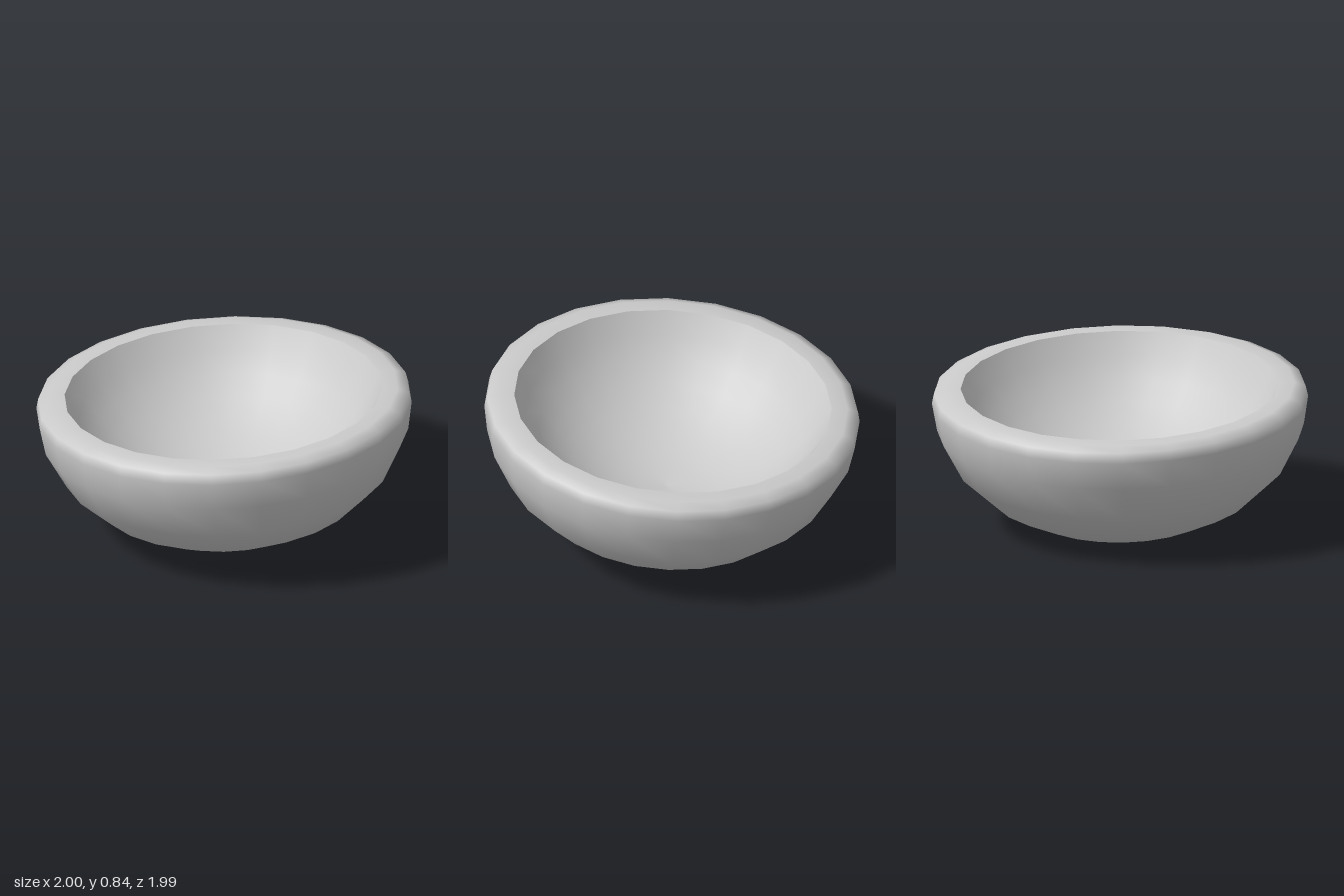
import * as THREE from 'three';

const SEGMENTS = 24;

// Shell profile runs [radius, height] from the base up and over the rim.
const SHELL = [
  [0, 0.003], [0.255, 0.016], [0.485, 0.057], [0.697, 0.163], [0.87, 0.328],
  [0.975, 0.535], [1, 0.69], [0.988, 0.745], [0.93, 0.768], [0.846, 0.768],
];

// The hollow is a spherical cap that meets the rim at a steep slope.
const RIM_RADIUS = 0.846, RIM_HEIGHT = 0.768, RIM_SLOPE = 1.15, CAP_STEPS = 8;

function capProfile() {
  const radius = RIM_RADIUS / Math.sin(RIM_SLOPE);
  const centre = RIM_HEIGHT + radius * Math.cos(RIM_SLOPE);
  return Array.from({ length: CAP_STEPS + 1 }, (_, i) => {
    const angle = RIM_SLOPE * (1 - i / CAP_STEPS);
    return [radius * Math.sin(angle), centre - radius * Math.cos(angle)];
  });
}

function turned(name, profile, material) {
  const points = profile.map(([r, y]) => new THREE.Vector2(r, y));
  const mesh = new THREE.Mesh(new THREE.LatheGeometry(points, SEGMENTS), material);
  mesh.name = name;
  return mesh;
}

export function createModel() {
  const model = new THREE.Group();
  model.name = 'bowl';
  const material = new THREE.MeshStandardMaterial({ color: 0xcccccc });

  // The bowl leans back slightly, so its front rim sits higher.
  const bowl = new THREE.Group();
  bowl.name = 'tiltedBowl';
  bowl.rotation.x = -0.072;
  bowl.position.z = 0.05;

  // Separate meshes keep the inner rim edge crisp.
  bowl.add(turned('outerShellAndRim', SHELL, material));
  bowl.add(turned('innerHollow', capProfile(), material));

  model.add(bowl);
  return model;
}
